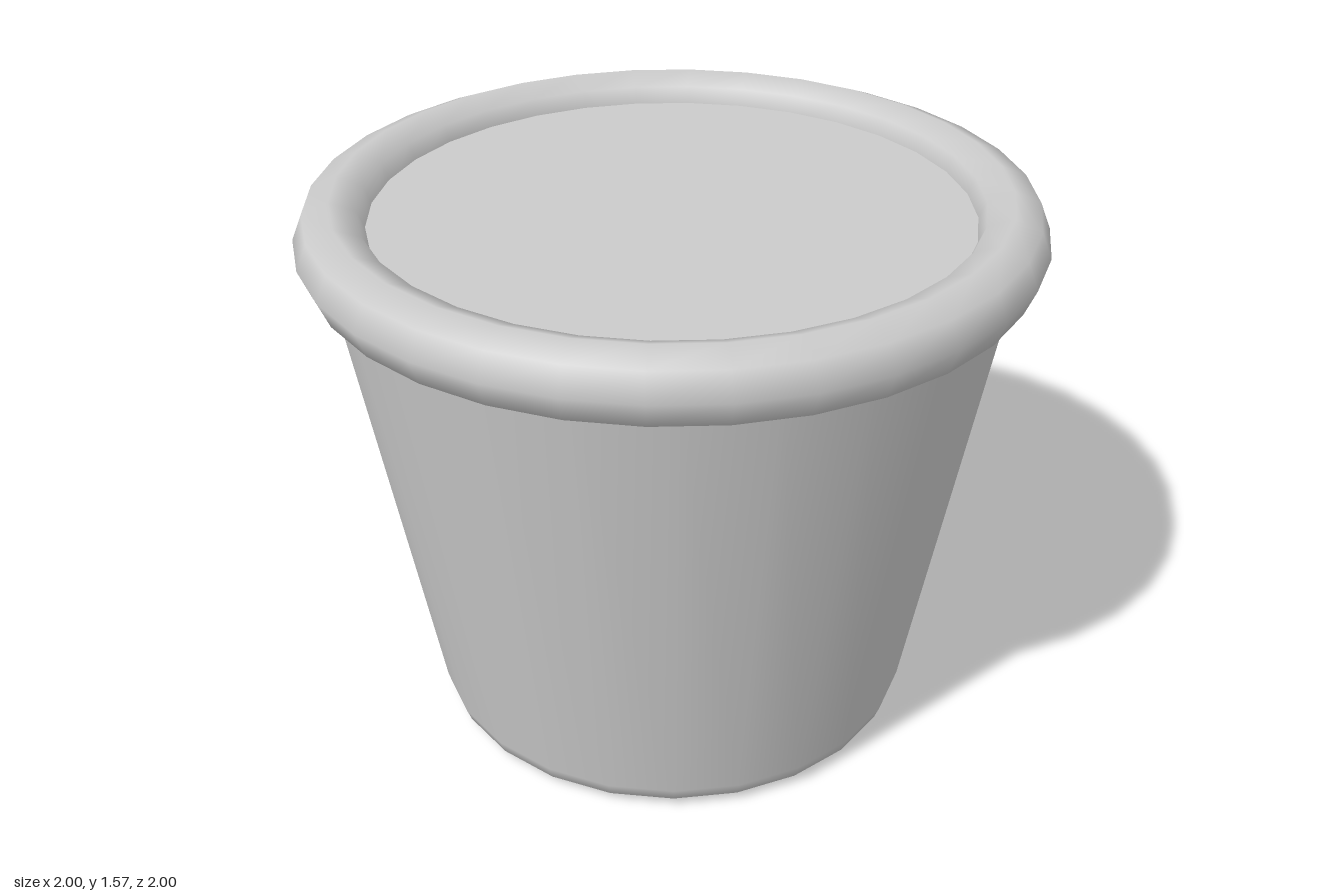
import * as THREE from 'three';

const SIDES = 24;
const TOP_Y = 1.495;

export function createModel() {
  const group = new THREE.Group();
  const material = new THREE.MeshStandardMaterial({ color: 0xcccccc });

  const add = (name, geometry, y = 0) => {
    const mesh = new THREE.Mesh(geometry, material);
    mesh.name = name;
    mesh.position.y = y;
    group.add(mesh);
  };

  // Tapered wall with a rounded lower edge
  const profile = [
    [0.61, 0], [0.65, 0.008], [0.68, 0.03], [0.695, 0.07], [0.937, TOP_Y],
  ].map(([r, y]) => new THREE.Vector2(r, y));
  add('potWall', new THREE.LatheGeometry(profile, SIDES));

  // Flat underside
  add('potBase', new THREE.CircleGeometry(0.61, SIDES).rotateX(Math.PI / 2));

  // Flat surface filling the pot, its edge hidden in the rim
  add('fillSurface', new THREE.CircleGeometry(0.937, SIDES).rotateX(-Math.PI / 2), TOP_Y);

  // Rolled rim
  add('rim', new THREE.TorusGeometry(0.9, 0.1, 8, 32).rotateX(-Math.PI / 2), 1.47);

  return group;
}
